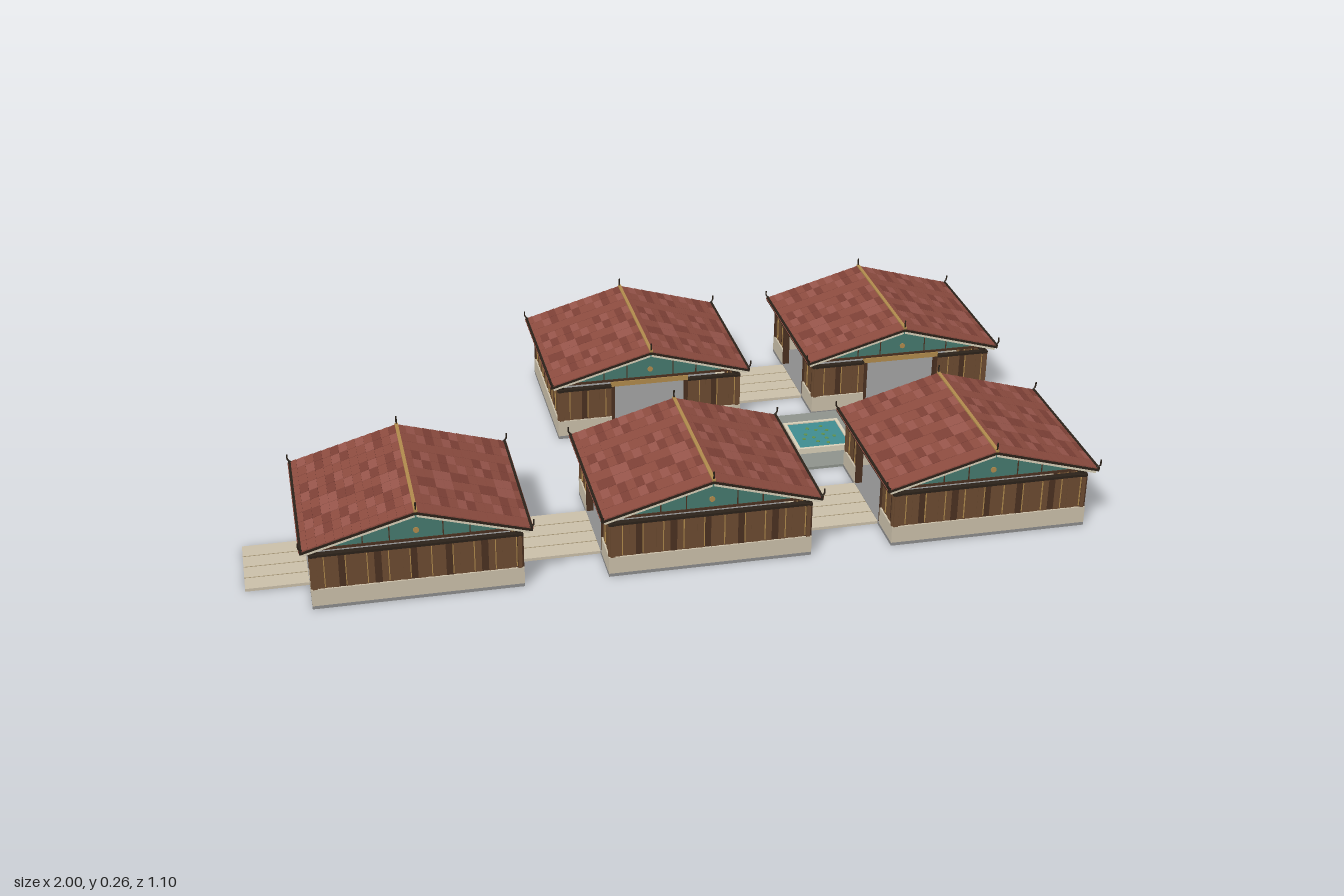
import * as THREE from 'three';
import { mergeGeometries } from 'three/addons/utils/BufferGeometryUtils.js';

const COLORS = {
  stone: 0xcabfa9, joint: 0xa89878, floor: 0x8c8c8c, paving: 0x8e938c, water: 0x3f8c90, lily: 0x5f8f4a,
  wood: 0x6b4a30, woodDark: 0x4a3020, woodLight: 0x80573a, gold: 0xb08a4c, dark: 0x2b2219,
  teal: 0x46796e, cream: 0xd8cfb8, tileA: 0x8c4b3f, tileB: 0x7d4036, tileC: 0x97554a,
};
const mats = {};
const mat = (c) => (mats[c] ??= new THREE.MeshStandardMaterial({ color: COLORS[c], side: THREE.DoubleSide }));

// Box given by its centre and size
const box = (w, h, d, x, y, z) => new THREE.BoxGeometry(w, h, d).translate(x, y, z);

function add(parent, name, color, geos) {
  const mesh = new THREE.Mesh(Array.isArray(geos) ? mergeGeometries(geos) : geos, mat(color));
  mesh.name = name;
  parent.add(mesh);
  return mesh;
}

const W = 0.48, D = 0.39, DOOR = 0.2, WALL = 0.012;
const EAVE_X = 0.26, EAVE_Y = 0.16, RIDGE_Y = 0.234, ROOF_D = 0.418;
const SLOPE = Math.hypot(EAVE_X, RIDGE_Y - EAVE_Y), ANGLE = Math.atan2(RIDGE_Y - EAVE_Y, EAVE_X);

// One wall along local x, facing local +z, with an optional doorway
function makeWall(length, door) {
  const g = new THREE.Group();
  g.name = door ? 'wallWithDoor' : 'wall';
  const side = (length - DOOR) / 2;
  const runs = door ? [[-length / 2, side], [DOOR / 2, side]] : [[-length / 2, length]];
  const plinth = [], caps = [], battens = [];
  const planks = { wood: [], woodDark: [], woodLight: [] }, keys = Object.keys(planks);
  for (const [start, len] of runs) {
    const mid = start + len / 2;
    plinth.push(box(len, 0.042, 0.016, mid, 0.029, -0.008));
    caps.push(box(len, 0.006, WALL + 0.002, mid, 0.135, -0.009));
    const n = Math.round(len / 0.016), step = len / n;
    for (let i = 0; i < n; i++) {
      const x = start + (i + 0.5) * step;
      planks[keys[(i * i + 2 * i) % 5 % 3]].push(box(step, 0.084, WALL - 0.003 + (i % 2) * 0.002, x, 0.092, -0.009));
      if (i % 3 === 1) battens.push(box(0.002, 0.076, WALL + 0.002, x + step / 2, 0.092, -0.009));
    }
  }
  add(g, 'plinth', 'stone', plinth);
  add(g, 'wallCap', 'dark', caps);
  add(g, 'battens', 'gold', battens);
  for (const k of keys) if (planks[k].length) add(g, 'planks', k, planks[k]);
  if (door) {
    add(g, 'doorLintel', 'gold', box(DOOR, 0.013, 0.016, 0, 0.1425, -0.009));
    add(g, 'doorJambs', 'woodDark', [-1, 1].map((s) => box(0.008, 0.126, 0.016, s * (DOOR / 2 - 0.004), 0.073, -0.009)));
  }
  return g;
}

function makeRoof() {
  const roof = new THREE.Group();
  roof.name = 'roof';
  for (const s of [-1, 1]) {
    const slope = new THREE.Group();
    slope.name = 'roofSlope';
    slope.position.set(s * EAVE_X / 2, (EAVE_Y + RIDGE_Y) / 2 - 0.004, 0);
    slope.rotation.z = -s * ANGLE;
    add(slope, 'roofDeck', 'dark', box(SLOPE, 0.006, ROOF_D, 0, -0.002, 0));
    // Overlapping tile courses
    const tiles = { tileA: [], tileB: [], tileC: [] }, keys = Object.keys(tiles);
    const rows = 13, cols = 10, r = SLOPE / rows, c = ROOF_D / cols;
    for (let i = 0; i < rows; i++)
      for (let j = 0; j < cols; j++) {
        const t = new THREE.BoxGeometry(r * 1.05, 0.003, c - 0.0015);
        t.rotateZ(-s * 0.06);
        t.translate((i + 0.5) * r - SLOPE / 2, 0.0025, (j + 0.5) * c - ROOF_D / 2);
        tiles[keys[(i * 5 + j * 7 + i * j) % 7 % 3]].push(t);
      }
    for (const k of keys) add(slope, 'roofTiles', k, tiles[k]);
    // Gable trim under each end of the slope
    add(slope, 'bargeboards', 'cream', [-1, 1].map((e) => box(SLOPE - 0.01, 0.007, 0.004, 0, -0.008, e * (ROOF_D / 2 - 0.004))));
    roof.add(slope);
    add(roof, 'eaveFascia', 'dark', box(0.006, 0.009, ROOF_D, s * (EAVE_X - 0.003), 0.158, 0));
  }
  add(roof, 'ridgeCap', 'gold', box(0.008, 0.006, ROOF_D, 0, RIDGE_Y, 0));

  // Gables, tie beams and round ornaments
  const tri = new THREE.Shape([[-0.245, 0.156], [0.245, 0.156], [0, 0.225]].map(([x, y]) => new THREE.Vector2(x, y)));
  for (const e of [-1, 1]) {
    const z = e * (D / 2 - 0.003);
    add(roof, 'gable', 'teal', new THREE.ExtrudeGeometry(tri, { depth: 0.005, bevelEnabled: false }).translate(0, 0, z - 0.0025));
    add(roof, 'tieBeam', 'woodDark', box(W, 0.006, 0.01, 0, 0.155, z));
    add(roof, 'gableOrnament', 'gold', new THREE.CylinderGeometry(0.007, 0.007, 0.009, 12).rotateX(Math.PI / 2).translate(0, 0.178, z));
    add(roof, 'gableStrips', 'woodDark', [-0.12, -0.06, 0.06, 0.12].map((x) => {
      const h = 0.064 * (1 - Math.abs(x) / 0.245);
      return box(0.0025, h, 0.008, x, 0.157 + h / 2, z);
    }));
    // Curved finials on ridge ends and eave corners
    const horns = [-1, 0, 1].map((s) => {
      const x = s * (EAVE_X - 0.002), y = s ? EAVE_Y : RIDGE_Y, zz = e * (ROOF_D / 2 - 0.004);
      const path = new THREE.CatmullRomCurve3([
        new THREE.Vector3(x - s * 0.006, y, zz), new THREE.Vector3(x + s * 0.003, y + 0.008, zz + e * 0.003),
        new THREE.Vector3(x + s * 0.004, y + 0.021, zz + e * 0.002)]);
      return new THREE.TubeGeometry(path, 6, 0.002, 6);
    });
    add(roof, 'finials', 'dark', horns);
  }
  return roof;
}

// doors: string naming the open sides: e (+x), w (-x), n (-z), s (+z)
function makeHall(x, z, doors) {
  const hall = new THREE.Group();
  hall.name = 'hall';
  hall.position.set(x, 0, z);
  add(hall, 'floor', 'floor', box(W, 0.008, D, 0, 0.004, 0));
  const sides = { s: [0, D / 2, 0, W], n: [0, -D / 2, Math.PI, W], e: [W / 2, 0, Math.PI / 2, D], w: [-W / 2, 0, -Math.PI / 2, D] };
  for (const [key, [px, pz, turn, len]] of Object.entries(sides)) {
    const wall = makeWall(len, doors.includes(key));
    wall.position.set(px, 0, pz);
    wall.rotation.y = turn;
    hall.add(wall);
  }
  // Corner posts carry the roof above the open gap
  const posts = [];
  for (const sx of [-1, 1]) for (const sz of [-1, 1])
    posts.push(new THREE.CylinderGeometry(0.006, 0.006, 0.154, 10).translate(sx * (W / 2 - 0.011), 0.082, sz * (D / 2 - 0.011)));
  add(hall, 'cornerPosts', 'dark', posts);
  hall.add(makeRoof());
  return hall;
}

// Stone path over a rectangle, with thin joints across its length
function makePath(x0, x1, z0, z1) {
  const g = new THREE.Group(), w = x1 - x0, d = z1 - z0, cx = (x0 + x1) / 2, cz = (z0 + z1) / 2;
  g.name = 'path';
  add(g, 'pathSlab', 'stone', box(w, 0.007, d, cx, 0.0035, cz));
  add(g, 'pathJoints', 'joint', [-0.25, 0, 0.25].map((f) => (w < d && w > 0.19
    ? box(0.002, 0.001, d, cx + f * w, 0.0072, cz)
    : box(w, 0.001, 0.002, cx, 0.0072, cz + f * d))));
  return g;
}

export function createModel() {
  const model = new THREE.Group();
  model.name = 'courtyardCompound';
  const Z = 0.34;
  [[-0.615, Z, 'we'], [0.06, Z, 'wen'], [0.735, Z, 'wn'], [0.06, -Z, 'es'], [0.735, -Z, 'ws']]
    .forEach((h) => model.add(makeHall(...h)));
  [[-1, -0.855, 0.24, 0.43], [-0.375, -0.18, 0.24, 0.43], [0.3, 0.495, 0.24, 0.43], [0.3, 0.495, -0.435, -0.245],
    [-0.04, 0.16, -0.145, 0.145], [0.635, 0.83, -0.145, 0.145]].forEach((p) => model.add(makePath(...p)));

  // Courtyard paving with a square pond
  add(model, 'courtyard', 'paving', box(0.335, 0.007, 0.284, 0.4675, 0.0035, 0));
  const pond = new THREE.Group();
  pond.name = 'pond';
  pond.position.x = 0.47;
  add(pond, 'pondRim', 'cream', [-1, 1].flatMap((s) => [
    box(0.145, 0.015, 0.008, 0, 0.0145, s * 0.0685), box(0.008, 0.015, 0.13, s * 0.0685, 0.0145, 0)]));
  add(pond, 'water', 'water', box(0.13, 0.012, 0.13, 0, 0.013, 0));
  const pads = [];
  for (let i = 0; i < 12; i++) {
    const a = i * 2.4, r = 0.014 * Math.sqrt(i + 1);
    pads.push(new THREE.CylinderGeometry(0.005, 0.005, 0.001, 8).translate(r * Math.cos(a), 0.0196, r * Math.sin(a)));
  }
  add(pond, 'lilyPads', 'lily', pads);
  model.add(pond);
  return model;
}
